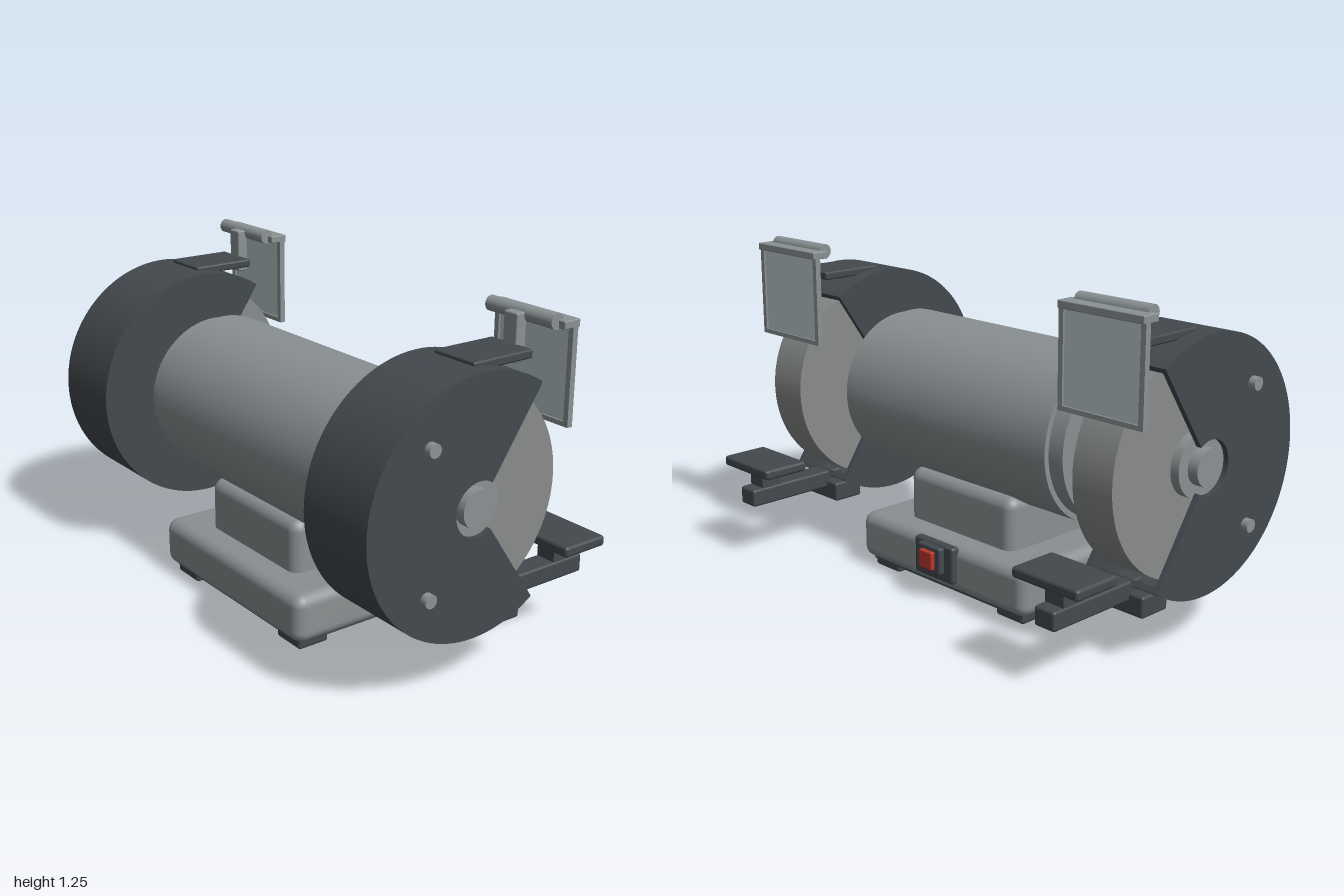
import * as THREE from 'three';
import { toCreasedNormals } from 'three/addons/utils/BufferGeometryUtils.js';
import { RoundedBoxGeometry } from 'three/addons/geometries/RoundedBoxGeometry.js';

const mat = (name, color) => {
  const m = new THREE.MeshStandardMaterial({ color });
  m.name = name;
  return m;
};

export function createModel() {
  const body = mat('body grey', 0x8a9092);
  const metal = mat('light metal', 0x8b9293);
  const stone = mat('wheel grey', 0x888c8b);
  const dark = mat('dark grey', 0x43494e);
  const red = mat('switch red', 0xb8362a);
  const glass = mat('shield glass', 0xb9c7cc);

  const model = new THREE.Group();
  model.name = 'benchGrinder';
  const AXIS_Y = 0.66, AXIS_Z = 0.083;

  const add = (parent, name, geometry, material) => {
    const m = new THREE.Mesh(geometry, material);
    m.name = name;
    parent.add(m);
    return m;
  };
  // Box given by its limits on each axis, with optional rounded edges
  const box = (parent, name, material, [x0, x1], [y0, y1], [z0, z1], r = 0) => {
    const w = x1 - x0, h = y1 - y0, d = z1 - z0;
    const g = r ? new RoundedBoxGeometry(w, h, d, 3, r) : new THREE.BoxGeometry(w, h, d);
    add(parent, name, g, material).position.set((x0 + x1) / 2, (y0 + y1) / 2, (z0 + z1) / 2);
  };
  // Cylinder lying along x between two x limits
  const rod = (parent, name, material, r, xa, xb, y = AXIS_Y, z = AXIS_Z, seg = 64) => {
    const g = new THREE.CylinderGeometry(r, r, Math.abs(xb - xa), seg).rotateZ(Math.PI / 2);
    add(parent, name, g, material).position.set((xa + xb) / 2, y, z);
  };

  // Base, pedestal and feet
  box(model, 'base', body, [-0.45, 0.45], [0.04, 0.225], [-0.255, 0.42], 0.045);
  box(model, 'basePlate', dark, [-0.41, 0.41], [0.03, 0.045], [-0.22, 0.385]);
  box(model, 'pedestal', body, [-0.28, 0.28], [0.18, 0.425], [-0.15, 0.31], 0.045);
  for (const sx of [-1, 1]) for (const z of [-0.153, 0.322]) {
    box(model, 'foot', dark, [sx * 0.34 - 0.07, sx * 0.34 + 0.07], [0.003, 0.045], [z - 0.064, z + 0.064], 0.012);
  }

  // Power switch on the back
  box(model, 'switchPlate', dark, [-0.105, 0.105], [0.08, 0.225], [-0.278, -0.24], 0.012);
  box(model, 'switchFrame', dark, [-0.06, 0.06], [0.112, 0.217], [-0.302, -0.26], 0.008);
  box(model, 'switchButton', red, [-0.035, 0.035], [0.13, 0.2], [-0.32, -0.29], 0.005);

  // Motor
  rod(model, 'motor', body, 0.31, -0.515, 0.515, 0.665);
  rod(model, 'motorEndCaps', body, 0.29, -0.58, 0.58, 0.665);

  // Guard sector, open towards the back; shape +x becomes -z
  const guardSector = (inner, outer, depth) => {
    const a = THREE.MathUtils.degToRad(56), b = Math.PI * 2 - a;
    const shape = new THREE.Shape();
    shape.absarc(0, 0, outer, a, b, false);
    shape.absarc(0, 0, inner, b, a, true);
    shape.closePath();
    const g = new THREE.ExtrudeGeometry(shape, { depth, bevelEnabled: false, curveSegments: 56 });
    g.translate(0, 0, -depth / 2).rotateY(Math.PI / 2);
    return toCreasedNormals(g, 0.5);
  };
  const rimGeometry = guardSector(0.435, 0.457, 0.32);
  const plateGeometry = guardSector(0.097, 0.45, 0.02);

  for (const s of [-1, 1]) {
    const side = new THREE.Group();
    side.name = s > 0 ? 'leftGrinder' : 'rightGrinder';
    model.add(side);
    const C = s * 0.815;
    const mid = (half) => [C - half, C + half];

    // Neck, shaft, wheel and flanges
    rod(side, 'neck', dark, 0.155, s * 0.57, s * 0.63);
    rod(side, 'neckCollar', dark, 0.166, s * 0.625, s * 0.66);
    rod(side, 'shaft', metal, 0.045, s * 0.6, s * 0.95);
    rod(side, 'wheel', stone, 0.405, s * 0.73, s * 0.9, AXIS_Y, AXIS_Z, 72);
    rod(side, 'flange', metal, 0.115, s * 0.69, s * 0.935);
    rod(side, 'shaftNut', metal, 0.068, s * 0.93, s * 0.975, AXIS_Y, AXIS_Z, 32);

    // Hollow guard: rim and two side plates
    add(side, 'guardRim', rimGeometry, dark).position.set(C, AXIS_Y, AXIS_Z + 0.002);
    for (const o of [-0.15, 0.15]) {
      add(side, 'guardPlate', plateGeometry, dark).position.set(C + o, AXIS_Y, AXIS_Z + 0.002);
    }
    for (const y of [0.407, 0.913]) rod(side, 'guardBolt', metal, 0.024, s * 0.96, s, y, 0.298, 20);

    // Eye shield and its mount
    box(side, 'shieldBracket', dark, mid(0.097), [1.098, 1.13], [-0.185, 0.07], 0.008);
    box(side, 'shieldArm', metal, mid(0.032), [1.068, 1.235], [-0.213, -0.17], 0.006);
    rod(side, 'shieldPivot', metal, 0.027, C - 0.153, C + 0.153, 1.225, -0.228, 24);
    box(side, 'shieldTopBar', metal, mid(0.18), [1.202, 1.23], [-0.305, -0.235], 0.004);
    for (const o of [-0.17, 0.17]) {
      box(side, 'shieldSideFrame', metal, [C + o - 0.01, C + o + 0.01], [0.865, 1.205], [-0.296, -0.274]);
    }
    box(side, 'shieldBottomFrame', metal, mid(0.165), [0.865, 0.882], [-0.296, -0.274]);
    box(side, 'shieldGlass', glass, mid(0.165), [0.878, 1.205], [-0.289, -0.281]);

    // Tool rest
    box(side, 'restBracket', dark, mid(0.105), [0.177, 0.255], [-0.175, -0.045], 0.01);
    box(side, 'restArm', dark, mid(0.045), [0.225, 0.295], [-0.537, -0.1], 0.01);
    box(side, 'restPost', dark, mid(0.04), [0.28, 0.37], [-0.49, -0.4]);
    box(side, 'restTable', dark, mid(0.145), [0.36, 0.4], [-0.541, -0.35], 0.012);
  }
  return model;
}
